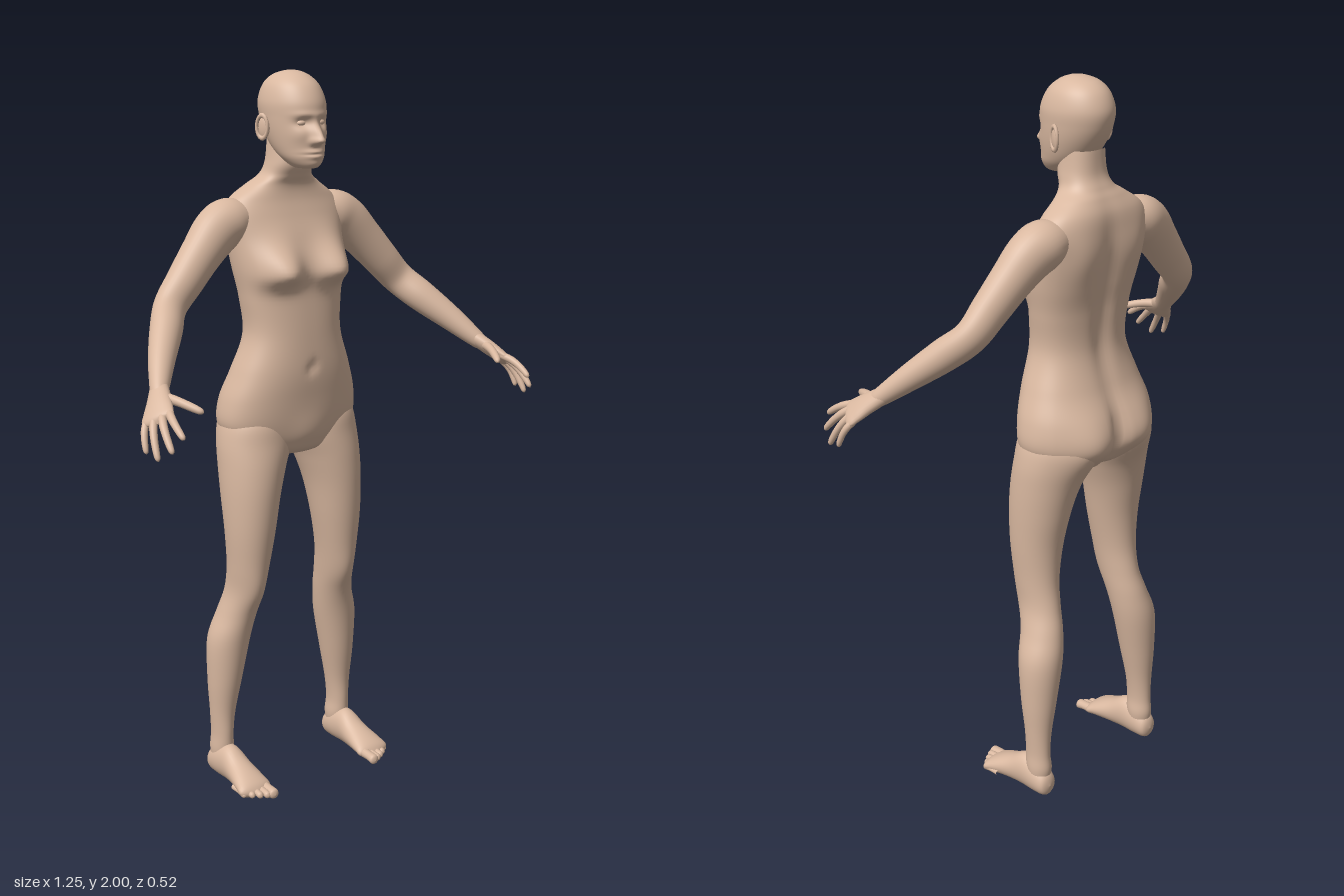
import * as THREE from 'three';

const V = (x, y, z) => new THREE.Vector3(x, y, z);
const X = V(1, 0, 0), Y = V(0, 1, 0), Z = V(0, 0, 1);
const skin = new THREE.MeshStandardMaterial({ color: 0xd9b8a0 });

// Smooth interpolation of the rows [x, y, z, radiusA, radiusB]
function sample(rows, s) {
  const f = s * (rows.length - 1), i = Math.min(Math.floor(f), rows.length - 2), t = f - i;
  const at = k => rows[Math.max(0, Math.min(rows.length - 1, k))];
  return rows[0].map((_, k) => {
    const p0 = at(i - 1)[k], p1 = at(i)[k], p2 = at(i + 1)[k], p3 = at(i + 2)[k];
    return p1 + 0.5 * t * (p2 - p0 + t * (2 * p0 - 5 * p1 + 4 * p2 - p3 + t * (3 * (p1 - p2) + p3 - p0)));
  });
}

// Skin over elliptical rings; radiusA lies along side, rings face the path or a fixed axis
function loft(rows, { side = X, axis, around = 24, along = 24, power = 2, sculpt } = {}) {
  const pos = [], idx = [];
  const round = c => Math.sign(c) * Math.abs(c) ** (2 / power);
  for (let i = 0; i <= along; i++) {
    const s = i / along, [x, y, z, a, b] = sample(rows, s);
    const p = sample(rows, Math.max(0, s - 0.02)), q = sample(rows, Math.min(1, s + 0.02));
    const t = axis ?? V(q[0] - p[0], q[1] - p[1], q[2] - p[2]).normalize();
    const u = side.clone().addScaledVector(t, -side.dot(t)).normalize();
    const v = u.clone().cross(t);
    for (let j = 0; j < around; j++) {
      const th = (j / around) * Math.PI * 2;
      const pt = V(x, y, z).addScaledVector(u, Math.max(0, a) * round(Math.cos(th)))
        .addScaledVector(v, Math.max(0, b) * round(Math.sin(th)));
      if (sculpt) sculpt(pt, Math.sin(th));
      pos.push(pt.x, pt.y, pt.z);
      if (i < along) {
        const k = i * around, j2 = (j + 1) % around;
        const A = k + j, B = k + j2, C = A + around, D = B + around;
        idx.push(A, C, B, B, C, D);
      }
    }
  }
  const g = new THREE.BufferGeometry();
  g.setAttribute('position', new THREE.Float32BufferAttribute(pos, 3));
  g.setIndex(idx);
  g.computeVertexNormals();
  return g;
}

// Horizontal section from its extents: height, x range, front z, back z
const section = ([y, x0, x1, zf, zb]) => [(x0 + x1) / 2, y, (zf + zb) / 2, (x1 - x0) / 2, (zf - zb) / 2];
const centred = ([y, w, zf, zb]) => section([y, -w, w, zf, zb]);

// Soft hill with separate spreads above and below its centre
const hill = (p, x, y, sx, up, down = up) =>
  Math.exp(-0.5 * (((p.x - x) / sx) ** 2 + ((p.y - y) / (p.y > y ? up : down)) ** 2));

// Body relief shared by torso and legs, so that they meet smoothly
function bodyRelief(p, facing) {
  const f = Math.min(1, Math.max(0, facing) * 2), b = Math.min(1, Math.max(0, -facing) * 2);
  for (const s of [-1, 1]) {
    p.z += f * 0.058 * hill(p, s * 0.088, 1.472, 0.042, 0.05, 0.025);
    p.z -= b * 0.045 * hill(p, s * 0.09, 1.05, 0.06, 0.07, 0.055);
    p.z -= b * 0.012 * hill(p, s * 0.1, 1.56, 0.04, 0.06);
  }
  p.z += b * 0.025 * hill(p, 0, 1.05, 0.014, 0.06);
  p.z += b * 0.014 * hill(p, 0, 1.4, 0.022, 0.16);
  p.z -= f * 0.008 * hill(p, 0, 1.21, 0.01, 0.012);
  p.z += f * 0.008 * hill(p, 0, 1.02, 0.04, 0.04);
  p.z += f * 0.008 * hill(p, Math.sign(p.x) * 0.157, 0.58, 0.03, 0.04);
}

// Face: nose, sockets, brow, lips, chin and cheeks
function faceRelief(p, facing) {
  const f = Math.min(1, Math.max(0, facing) * 1.5);
  let d = 0.032 * hill(p, 0, 1.822, 0.0105, 0.026, 0.008)
    + 0.007 * hill(p, 0, 1.792, 0.02, 0.005) + 0.007 * hill(p, 0, 1.78, 0.017, 0.005)
    - 0.004 * hill(p, 0, 1.786, 0.022, 0.002) + 0.006 * hill(p, 0, 1.76, 0.018, 0.01);
  for (const s of [-1, 1]) {
    d += 0.01 * hill(p, s * 0.011, 1.821, 0.006, 0.006) - 0.013 * hill(p, s * 0.03, 1.867, 0.015, 0.01)
      + 0.004 * hill(p, s * 0.03, 1.888, 0.02, 0.006) + 0.004 * hill(p, s * 0.045, 1.835, 0.016, 0.014);
  }
  p.z += f * d;
}

export function createModel() {
  const model = new THREE.Group();
  model.name = 'standingFigure';
  const add = (name, geometry) => {
    const m = new THREE.Mesh(geometry, skin);
    m.name = name;
    model.add(m);
  };
  // Adds a part on the left and its mirror image on the right
  const pair = (name, geometry) => {
    add('left' + name, geometry);
    const g = geometry.clone().scale(-1, 1, 1);
    g.setIndex(Array.from(geometry.index.array).reverse());
    g.computeVertexNormals();
    add('right' + name, g);
  };
  const blob = (r, sx, sy, sz) => new THREE.SphereGeometry(r, 20, 14).scale(sx, sy, sz);

  // Torso and neck
  add('torso', loft([
    [0.945, 0, -0.1, -0.1], [0.965, 0.1, -0.035, -0.17], [1.0, 0.175, -0.015, -0.2],
    [1.05, 0.212, -0.003, -0.222], [1.12, 0.208, 0.006, -0.222], [1.2, 0.18, 0.012, -0.203],
    [1.3, 0.146, 0.008, -0.182], [1.4, 0.154, 0, -0.187], [1.48, 0.168, -0.008, -0.2],
    [1.56, 0.178, -0.03, -0.21], [1.62, 0.186, -0.052, -0.21], [1.665, 0.16, -0.066, -0.205],
    [1.7, 0.11, -0.068, -0.19], [1.725, 0.074, -0.056, -0.175], [1.76, 0.062, -0.042, -0.16],
    [1.82, 0.055, -0.05, -0.155],
  ].map(centred), { axis: Y, around: 96, along: 110, power: 2.3, sculpt: bodyRelief }));

  // Head
  add('head', loft([
    [1.748, 0, -0.01, -0.04], [1.75, 0.03, 0.014, -0.06], [1.772, 0.053, 0.026, -0.1],
    [1.8, 0.066, 0.025, -0.135], [1.84, 0.076, 0.025, -0.165], [1.88, 0.081, 0.025, -0.184],
    [1.92, 0.082, 0.021, -0.19], [1.96, 0.07, 0, -0.175], [1.985, 0.048, -0.03, -0.148],
    [1.997, 0.022, -0.06, -0.112], [2.0, 0, -0.085, -0.085],
  ].map(centred), { axis: Y, around: 112, along: 100, sculpt: faceRelief }));
  pair('Eye', blob(0.012, 1.2, 0.75, 1).translate(0.03, 1.867, -0.001));
  pair('Ear', blob(0.03, 0.25, 0.95, 0.6).rotateY(-0.35).translate(0.086, 1.852, -0.09));
  pair('EarRim', new THREE.TorusGeometry(0.022, 0.005, 8, 24).scale(0.8, 1.35, 1)
    .rotateY(Math.PI / 2 - 0.35).translate(0.091, 1.854, -0.092));

  // Legs, from the ankle up into the pelvis
  pair('Leg', loft([
    [0.03, 0.185, 0.235, -0.12, -0.18], [0.08, 0.177, 0.241, -0.11, -0.19],
    [0.13, 0.18, 0.239, -0.108, -0.186], [0.2, 0.172, 0.243, -0.105, -0.187],
    [0.3, 0.152, 0.25, -0.09, -0.195], [0.42, 0.128, 0.25, -0.075, -0.2],
    [0.5, 0.116, 0.225, -0.06, -0.187], [0.57, 0.108, 0.208, -0.038, -0.168],
    [0.65, 0.098, 0.21, -0.018, -0.156], [0.75, 0.08, 0.218, -0.005, -0.16],
    [0.85, 0.06, 0.223, 0, -0.178], [0.93, 0.035, 0.224, -0.002, -0.194],
    [1.0, 0.01, 0.221, -0.01, -0.204], [1.06, 0.02, 0.208, -0.02, -0.2],
    [1.1, 0.05, 0.18, -0.05, -0.17], [1.13, 0.11, 0.11, -0.11, -0.11],
  ].map(section), { axis: Y, around: 48, along: 80, sculpt: bodyRelief }));

  // Feet, heel to ball, with flat soles
  const flatten = p => { p.y = Math.max(0, p.y); };
  pair('Foot', loft([
    [0.21, 0.035, -0.197, 0, 0], [0.21, 0.035, -0.187, 0.027, 0.032], [0.21, 0.045, -0.15, 0.035, 0.048],
    [0.21, 0.05, -0.1, 0.036, 0.053], [0.21, 0.037, -0.05, 0.041, 0.04], [0.212, 0.025, 0, 0.049, 0.028],
    [0.213, 0.016, 0.03, 0.048, 0.018], [0.213, 0.013, 0.045, 0, 0],
  ], { axis: Z, around: 32, along: 36, sculpt: flatten }));
  for (let i = 0; i < 5; i++) {
    const k = i / 4, x = 0.181 + 0.072 * k, r = i ? 0.0105 - 0.002 * k : 0.0145, tip = 0.08 - 0.045 * k ** 1.5;
    pair('Toe' + (i + 1), loft([
      [x, 0.016, tip - 0.06, r, r], [x, 0.015, tip - 0.03, r, r * 0.9], [x, 0.012, tip - 0.01, r * 1.05, r],
      [x, 0.011, tip - 0.003, r * 0.7, r * 0.7], [x, 0.01, tip, 0, 0],
    ], { axis: Z, around: 14, along: 16, sculpt: flatten }));
  }

  // Arms, shoulder to wrist
  pair('Arm', loft([
    [0.1, 1.618, -0.135, 0.045, 0.035], [0.165, 1.608, -0.135, 0.064, 0.063],
    [0.215, 1.583, -0.13, 0.06, 0.066], [0.27, 1.53, -0.12, 0.052, 0.058],
    [0.33, 1.465, -0.108, 0.046, 0.052], [0.385, 1.405, -0.095, 0.04, 0.047],
    [0.43, 1.355, -0.045, 0.041, 0.045], [0.485, 1.295, 0.02, 0.034, 0.036],
    [0.53, 1.24, 0.08, 0.025, 0.025], [0.545, 1.222, 0.1, 0.022, 0.018],
  ], { side: Z, around: 32, along: 60 }));

  // Hands: palm, then fingers as [knuckle, tip, radius]
  const across = V(-0.045, 0.03, 0.055).normalize();
  pair('Palm', loft([
    [0.527, 1.243, 0.075, 0.024, 0.021], [0.552, 1.215, 0.113, 0.034, 0.02],
    [0.57, 1.195, 0.138, 0.042, 0.017], [0.583, 1.18, 0.156, 0.042, 0.012],
    [0.588, 1.174, 0.165, 0, 0],
  ], { side: across, around: 24, along: 24 }));
  const digits = {
    Thumb: [V(0.538, 1.225, 0.11), V(0.49, 1.198, 0.222), 0.0115],
    IndexFinger: [V(0.56, 1.197, 0.175), V(0.572, 1.15, 0.26), 0.0098],
    MiddleFinger: [V(0.576, 1.188, 0.165), V(0.596, 1.115, 0.245), 0.0098],
    RingFinger: [V(0.59, 1.177, 0.148), V(0.613, 1.09, 0.205), 0.0095],
    LittleFinger: [V(0.601, 1.167, 0.128), V(0.619, 1.1, 0.16), 0.0085],
  };
  for (const [name, [from, to, r]] of Object.entries(digits)) {
    const rows = [[-0.15, 1.1], [0.2, 1.1], [0.5, 1], [0.8, 0.9], [0.95, 0.65], [1, 0]].map(([s, k]) => {
      const p = from.clone().lerp(to, s);
      const bow = 0.02 * s * (1 - s);
      return [p.x + bow, p.y + bow, p.z, r * k, r * k];
    });
    pair(name, loft(rows, { side: across, around: 14, along: 20 }));
  }
  return model;
}
